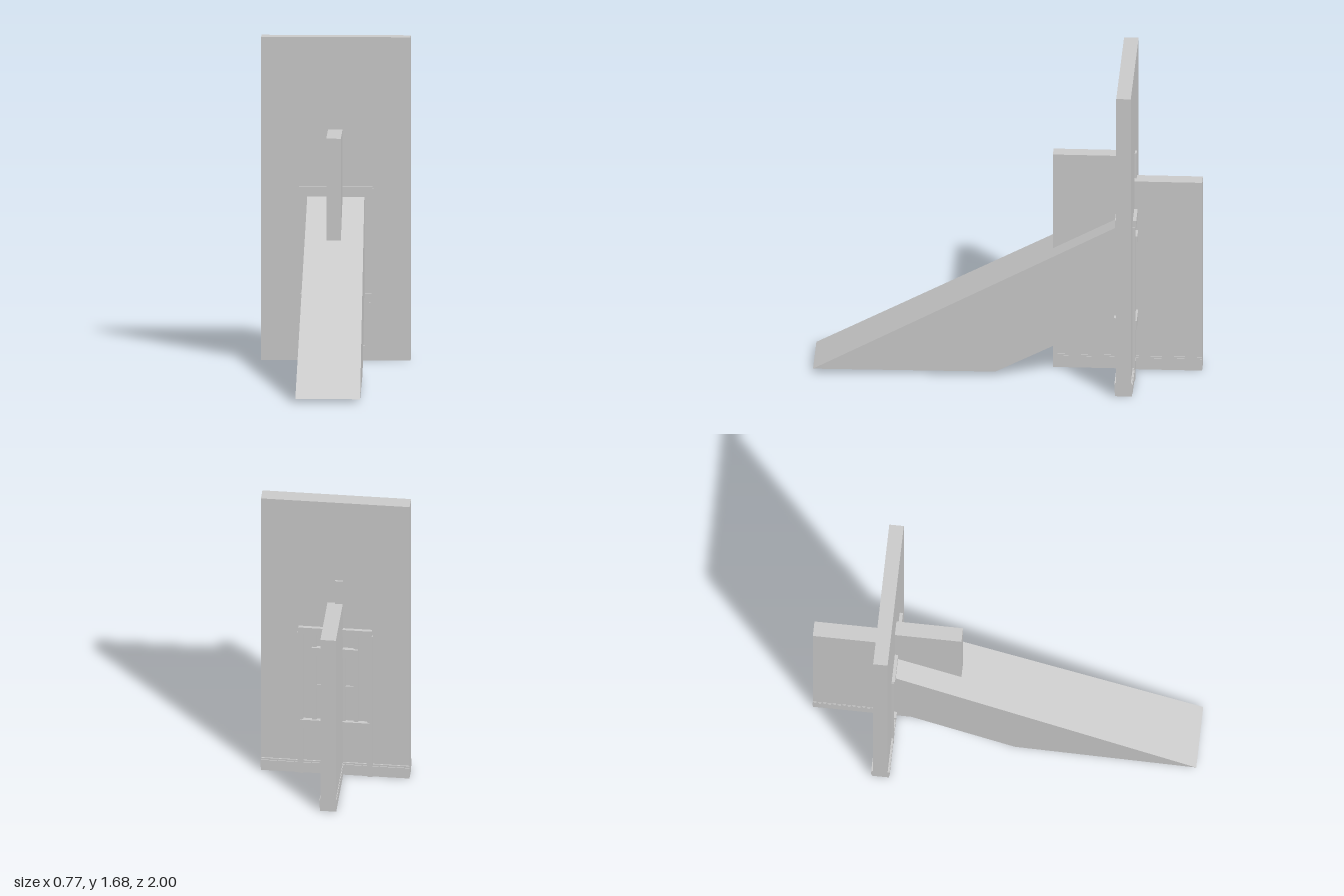
import * as THREE from 'three';

const material = new THREE.MeshStandardMaterial({ color: 0xcccccc, flatShading: true });

export function createModel() {
  const model = new THREE.Group();

  const add = (name, geometry, parent = model) => {
    const mesh = new THREE.Mesh(geometry, material);
    mesh.name = name;
    parent.add(mesh);
    return mesh;
  };
  // Box given by its limits on each axis
  const box = (name, x0, x1, y0, y1, z0, z1, parent) => {
    const g = new THREE.BoxGeometry(x1 - x0, y1 - y0, z1 - z0);
    g.translate((x0 + x1) / 2, (y0 + y1) / 2, (z0 + z1) / 2);
    return add(name, g, parent);
  };
  // The same box on both sides of the centre
  const pair = (name, x0, x1, ...rest) => {
    box(name, x0, x1, ...rest);
    box(name, -x1, -x0, ...rest);
  };

  // Crossing walls
  box('mainWall', -0.385, 0.385, 0, 1.68, -0.65, -0.575);
  box('frontFin', -0.04, 0.035, 0, 1.2, -0.575, -0.23);
  box('finEndStrip', -0.04, 0, 1.04, 1.2, -0.66, -0.65);
  box('backFin', -0.04, 0.04, 0, 1.06, -1, -0.65);

  // Skirting with a plinth and a thin cap line
  for (const [y0, y1, t] of [[0, 0.02, 0.006], [0.02, 0.065, 0.01], [0.065, 0.075, 0.006]]) {
    box('wallSkirtingFront', -0.385, 0.385, y0, y1, -0.575, -0.575 + t);
    box('wallSkirtingBack', -0.385, 0.385, y0, y1, -0.65 - t, -0.65);
    box('frontFinSkirting', -0.04 - t / 3, 0.035 + t / 3, y0, y1, -0.57, -0.23);
    box('backFinSkirting', -0.04 - t / 3, 0.04 + t / 2, y0, y1, -1, -0.66);
  }

  // Door frame on the front
  box('frontLintel', -0.19, 0.19, 0.86, 0.905, -0.575, -0.558);
  pair('frontJamb', 0.18, 0.195, 0, 0.895, -0.575, -0.563);
  pair('frontInnerJamb', 0.165, 0.18, 0, 0.3, -0.575, -0.566);
  pair('frontBracket', 0.15, 0.185, 0.33, 0.35, -0.575, -0.552);

  // Frame and small panel on the back, either side of the fin
  pair('backLintel', 0.04, 0.19, 0.865, 0.905, -0.668, -0.65);
  pair('backJamb', 0.165, 0.195, 0, 0.87, -0.662, -0.65);
  pair('backUpperRail', 0.04, 0.12, 0.735, 0.785, -0.67, -0.65);
  pair('backLowerRail', 0.04, 0.18, 0.285, 0.335, -0.67, -0.65);
  pair('backMullion', 0.095, 0.12, 0.33, 0.865, -0.66, -0.65);
  pair('backInnerMullion', 0.04, 0.055, 0.33, 0.74, -0.66, -0.65);
  pair('backCrossBar', 0.055, 0.095, 0.53, 0.55, -0.657, -0.65);

  // Hollow ramp: side profiles (z, y) extruded across, widening toward the tip
  const ramp = new THREE.Group();
  ramp.name = 'ramp';
  model.add(ramp);
  const panel = (name, points, u0, u1) => {
    const shape = new THREE.Shape(points.map(([z, y]) => new THREE.Vector2(z, y)));
    const g = new THREE.ExtrudeGeometry(shape, { depth: u1 - u0, bevelEnabled: false });
    g.rotateY(-Math.PI / 2).translate(u1, 0, 0);
    const p = g.attributes.position;
    for (let i = 0; i < p.count; i++) {
      p.setX(i, p.getX(i) * THREE.MathUtils.mapLinear(p.getZ(i), -0.57, 1, 0.147, 0.167));
    }
    g.computeVertexNormals();
    add(name, g, ramp);
  };
  const side = [[1, 0.02], [-0.57, 0.85], [-0.57, 0.34], [0.06, 0.02]];
  panel('rampLeftSide', side, 0.92, 1);
  panel('rampRightSide', side, -1, -0.92);
  panel('rampTop', [[1, 0.02], [-0.57, 0.85], [-0.57, 0.83], [0.962, 0.02]], -0.92, 0.92);
  panel('rampUnderside', [[0.06, 0.02], [0.1, 0.02], [-0.57, 0.36], [-0.57, 0.34]], -0.92, 0.92);

  return model;
}
